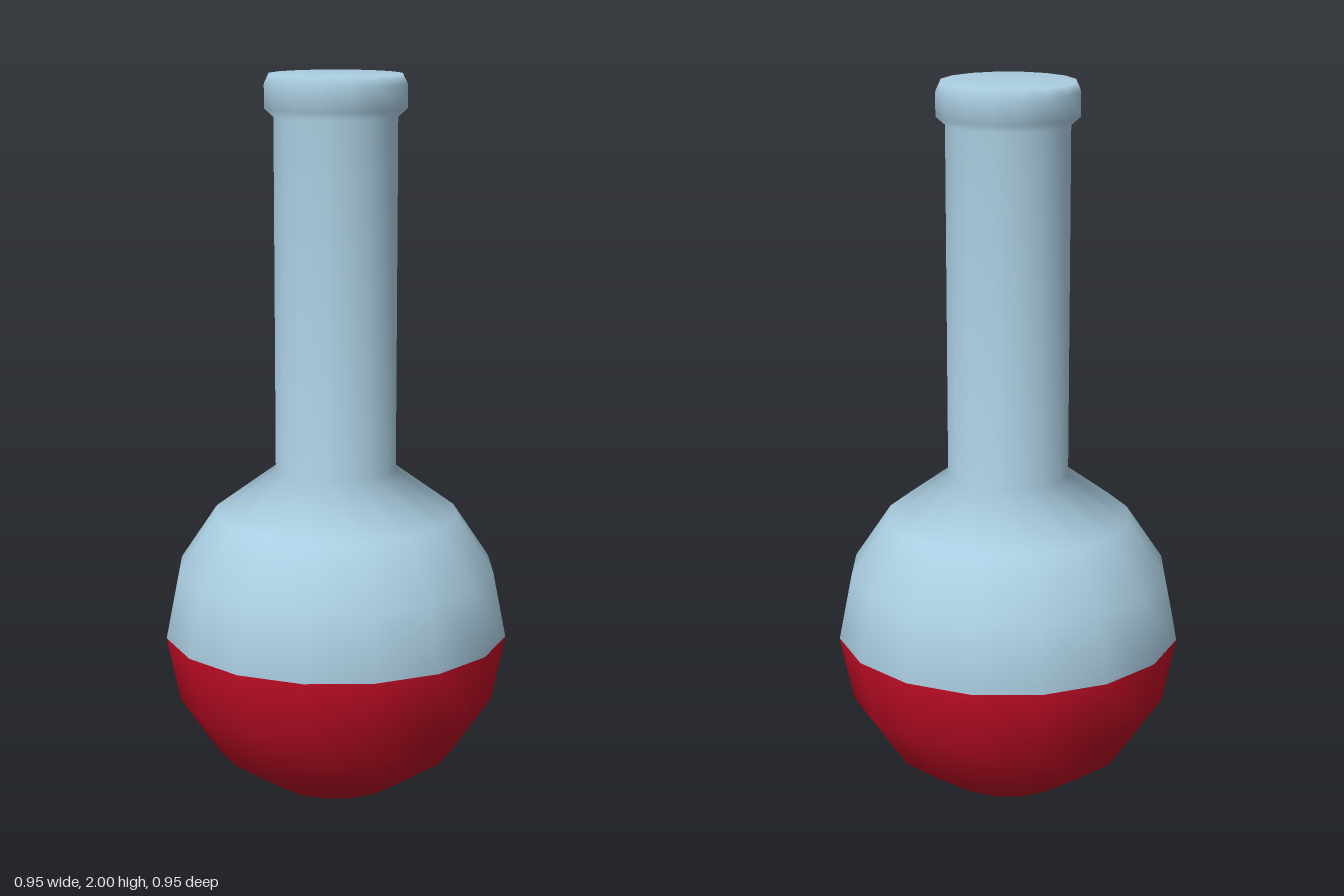
import * as THREE from 'three';

export function createModel() {
  const SIDES = 16, R = 0.475;
  const glass = new THREE.MeshStandardMaterial({ color: 0xabcee2 });
  glass.name = 'paleBlueGlass';
  const red = new THREE.MeshStandardMaterial({ color: 0xbc0c24 });
  red.name = 'redLiquid';
  const group = new THREE.Group();
  group.name = 'flask';

  // Lower half of the round bulb, filled with liquid
  const liquid = new THREE.Mesh(
    new THREE.SphereGeometry(R, SIDES, 4, 0, Math.PI * 2, Math.PI / 2, Math.PI / 2), red);
  liquid.name = 'liquid';
  liquid.position.y = R;
  group.add(liquid);

  // Upper bulb, neck, rolled rim and closed top as one smooth profile
  const profile = [];
  for (let i = 0; i < 3; i++) {
    const a = i * Math.PI / 8;
    profile.push(new THREE.Vector2(R * Math.cos(a), R + R * Math.sin(a)));
  }
  [[0.167, 0.935], [0.167, 1.89], [0.192, 1.912], [0.192, 1.975], [0.18, 2], [0, 2]]
    .forEach(([r, y]) => profile.push(new THREE.Vector2(r, y)));
  const geo = new THREE.LatheGeometry(profile, SIDES);

  // Level the normals on the equator so both halves shade as one ball
  const { position, normal } = geo.attributes;
  for (let i = 0; i < position.count; i += profile.length) {
    normal.setXYZ(i, position.getX(i) / R, 0, position.getZ(i) / R);
  }
  const body = new THREE.Mesh(geo, glass);
  body.name = 'bulbAndNeck';
  group.add(body);

  return group;
}
